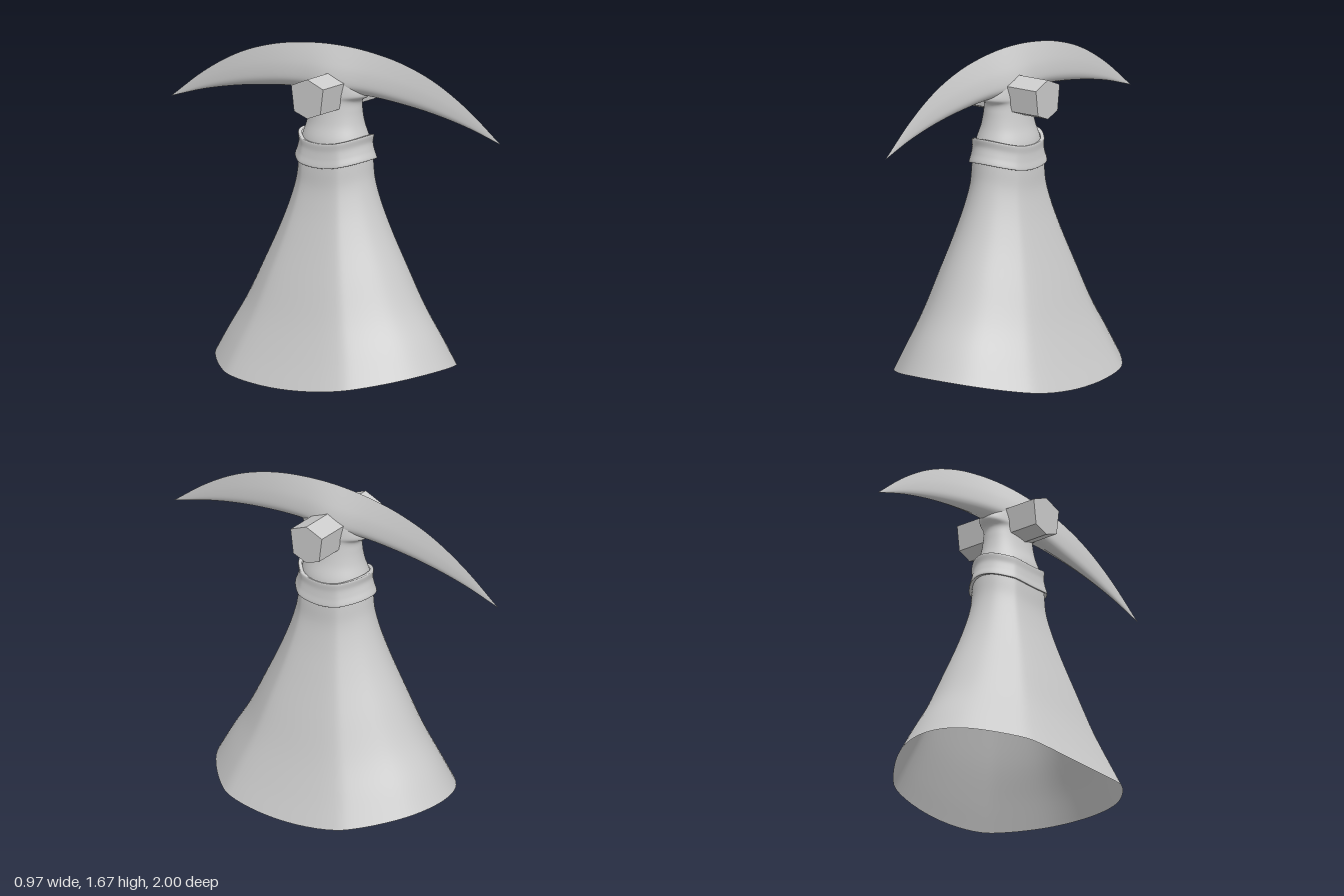
import * as THREE from 'three';

const material = new THREE.MeshStandardMaterial({ color: 0xcccccc, side: THREE.DoubleSide });
const V = (a, b, c) => new THREE.Vector3(a, b, c);

// Smooth surface from point(u, v): u runs upward, v runs leftward as seen from outside
function surface(name, nu, nv, wrap, point) {
  const pos = [], index = [];
  const cols = wrap ? nv : nv + 1;
  for (let i = 0; i <= nu; i++)
    for (let j = 0; j < cols; j++) pos.push(...point(i / nu, j / nv));
  for (let i = 0; i < nu; i++)
    for (let j = 0; j < nv; j++) {
      const k = (j + 1) % cols;
      const a = i * cols + j, b = i * cols + k, c = a + cols, d = b + cols;
      index.push(a, c, b, b, c, d);
    }
  const geo = new THREE.BufferGeometry();
  geo.setAttribute('position', new THREE.Float32BufferAttribute(pos, 3));
  geo.setIndex(index);
  geo.computeVertexNormals();
  const mesh = new THREE.Mesh(geo, material);
  mesh.name = name;
  return mesh;
}

// Unit cross-section: an oval with soft corners, mirrored from one quarter
const quarter = [[1, 0], [0.93, 0.5], [0.82, 0.645], [0.42, 0.915], [0, 1]];
const half = [...quarter, ...quarter.slice(0, 4).reverse().map(([x, z]) => [-x, z])];
const loop = [...half, ...half.slice(1, 8).reverse().map(([x, z]) => [x, -z])];
const softOval = new THREE.CatmullRomCurve3(loop.map(([x, z]) => V(x, 0, z)), true);
const circle = { getPoint: (t) => V(Math.cos(t * 2 * Math.PI), 0, Math.sin(t * 2 * Math.PI)) };

// Loft of rings [height, half width, half depth]; each ring rises by lift(height) at front and back
function loft(name, rings, section, nu, lift) {
  const profile = new THREE.CatmullRomCurve3(rings.map((r) => V(...r)));
  return surface(name, nu, 96, true, (u, v) => {
    const p = profile.getPoint(u), s = section.getPoint(v);
    return [s.x * p.y, p.x + lift(p.x) * s.z * s.z, s.z * p.z];
  });
}

export function createModel() {
  const model = new THREE.Group();

  // Flared hollow skirt
  model.add(loft('skirt', [
    [0, 0.485, 0.645], [0.13, 0.43, 0.575], [0.3, 0.365, 0.475], [0.5, 0.3, 0.38],
    [0.7, 0.235, 0.29], [0.85, 0.19, 0.235], [0.96, 0.165, 0.207], [1.05, 0.158, 0.198],
    [1.15, 0.15, 0.19],
  ], softOval, 48, (y) => 0.09 - 0.045 * y));

  // Collar band, turned in at both edges
  model.add(loft('collar', [
    [1.075, 0.15, 0.19], [1.07, 0.167, 0.217], [1.11, 0.16, 0.205], [1.15, 0.155, 0.196],
    [1.19, 0.155, 0.2], [1.188, 0.14, 0.18],
  ], softOval, 30, () => 0.04));

  // Neck flaring into the underside of the blade
  model.add(loft('neck', [
    [1.13, 0.15, 0.19], [1.2, 0.148, 0.18], [1.28, 0.122, 0.155], [1.35, 0.107, 0.145],
    [1.4, 0.099, 0.148], [1.432, 0.094, 0.19], [1.5, 0.08, 0.17], [1.58, 0.045, 0.11],
    [1.65, 0.001, 0.001],
  ], circle, 48, () => 0));

  // Curved double-pointed blade: [ridge height, keel height, half thickness] from middle to tip
  const arm = [
    [1.67, 1.43, 0.079], [1.658, 1.432, 0.055], [1.622, 1.416, 0.036],
    [1.552, 1.388, 0.022], [1.438, 1.345, 0.01], [1.286, 1.284, 0.0005],
  ];
  const stations = [...arm.slice(1).reverse(), ...arm];
  const spine = new THREE.CatmullRomCurve3(stations.map((s) => V(...s)), false, 'catmullrom');
  // Side bulge from keel to ridge
  const bulge = new THREE.SplineCurve([
    [0, 0], [0.04, 0.5], [0.12, 0.86], [0.25, 1], [0.5, 0.82], [0.75, 0.45], [1, 0],
  ].map(([h, w]) => new THREE.Vector2(h, w)));
  const blade = new THREE.Group();
  blade.name = 'blade';
  for (const side of [1, -1])
    blade.add(surface(side > 0 ? 'bladeLeft' : 'bladeRight', 24, 80, false, (u, v) => {
      const s = spine.getPoint(v), b = bulge.getPoint(u);
      return [side * b.y * s.z, s.y + (s.x - s.y) * b.x, side * (2 * v - 1)];
    }));
  model.add(blade);

  // Six-sided cross bar through the head
  const hex = new THREE.Shape([
    [0, 1.535], [-0.097, 1.495], [-0.08, 1.365], [0, 1.335], [0.08, 1.365], [0.097, 1.495],
  ].map(([z, y]) => new THREE.Vector2(z, y)));
  const barGeo = new THREE.ExtrudeGeometry(hex, { depth: 0.5, bevelEnabled: false });
  barGeo.translate(0, 0, -0.25).rotateY(Math.PI / 2);
  const bar = new THREE.Mesh(barGeo, material);
  bar.name = 'crossBar';
  model.add(bar);

  return model;
}
